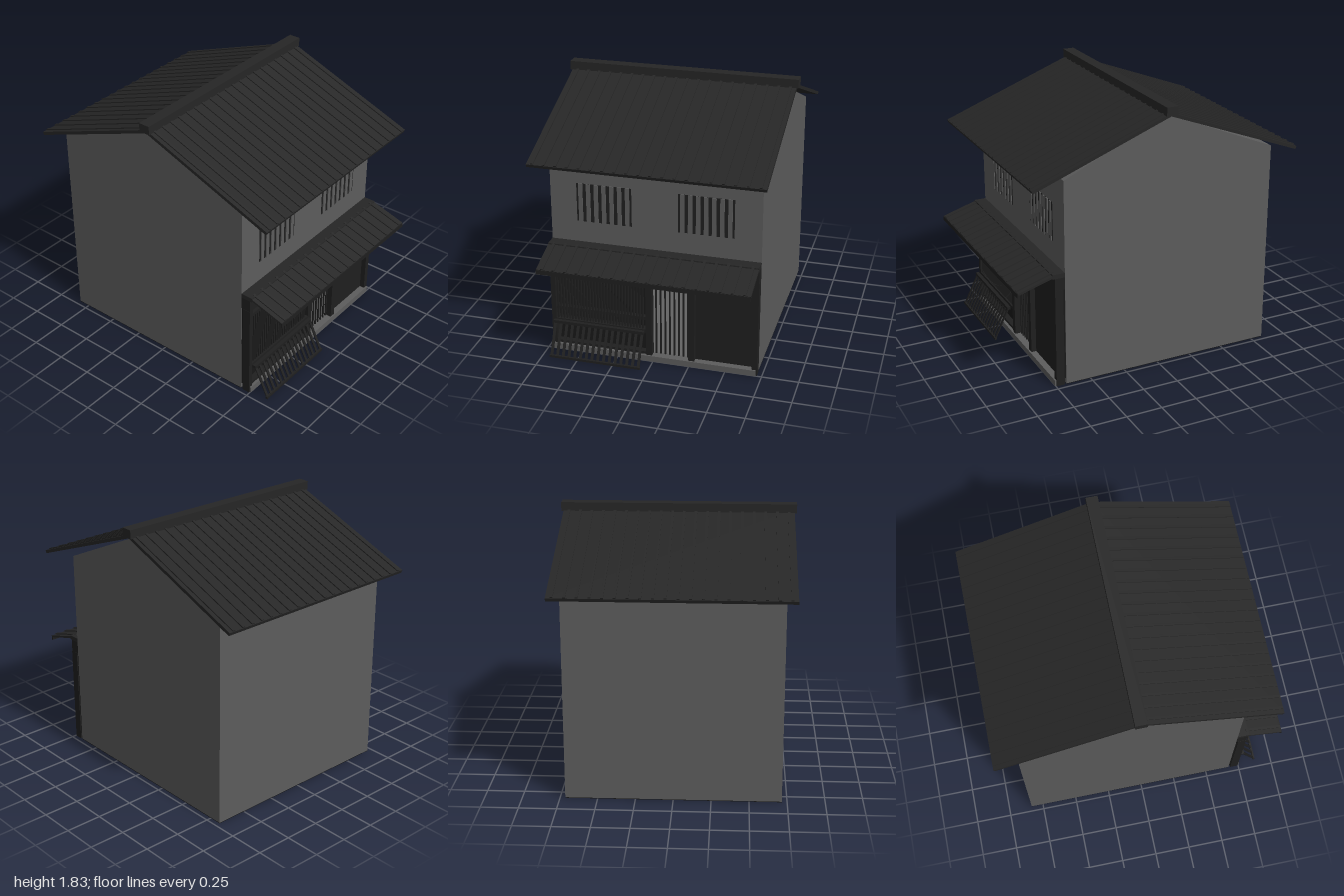
import * as THREE from 'three';

const mat = (name, color) => {
  const m = new THREE.MeshStandardMaterial({ color });
  m.name = name;
  return m;
};

export function createModel() {
  const plaster = mat('grey plaster', 0x5c5c5c);
  const tile = mat('dark roof tile', 0x262626);
  const wood = mat('dark timber', 0x1f1f1f);
  const shade = mat('shadowed timber', 0x181818);
  const paper = mat('paper screen', 0x828282);
  const house = new THREE.Group();
  house.name = 'townhouse';

  const group = (name) => {
    const g = new THREE.Group();
    g.name = name;
    house.add(g);
    return g;
  };
  // box given by its limits on each axis
  const box = (parent, name, m, [x0, x1], [y0, y1], [z0, z1]) => {
    const b = new THREE.Mesh(new THREE.BoxGeometry(x1 - x0, y1 - y0, z1 - z0), m);
    b.position.set((x0 + x1) / 2, (y0 + y1) / 2, (z0 + z1) / 2);
    b.name = name;
    parent.add(b);
    return b;
  };
  // box running in the zy plane from a to b, centred on that line
  const beam = (parent, name, m, x, width, thick, a, b) => {
    const dz = b[0] - a[0], dy = b[1] - a[1];
    const s = new THREE.Mesh(new THREE.BoxGeometry(width, thick, Math.hypot(dz, dy)), m);
    s.position.set(x, (a[1] + b[1]) / 2, (a[0] + b[0]) / 2);
    s.rotation.x = -Math.atan2(dy, dz);
    s.name = name;
    parent.add(s);
    return s;
  };
  // sloping slab with evenly spaced tile ribs on top
  const tiledSlope = (parent, half, thick, ribs, edge, a, b) => {
    beam(parent, 'roofSlab', tile, 0, half * 2, thick, a, b);
    const up = (p) => [p[0], p[1] + thick * 0.55];
    for (let i = 0; i < ribs; i++) {
      const x = -edge + (2 * edge * i) / (ribs - 1);
      beam(parent, 'tileRib', tile, x, 0.018, 0.014, up(a), up(b));
    }
  };

  // main body with gable ends
  const outline = new THREE.Shape();
  [[-0.675, 0.004], [0.835, 0.004], [0.835, 1.43], [0.04, 1.76], [-0.675, 1.43]]
    .forEach(([u, v], i) => (i ? outline.lineTo(u, v) : outline.moveTo(u, v)));
  const bodyGeo = new THREE.ExtrudeGeometry(outline, { depth: 1.43, bevelEnabled: false });
  bodyGeo.rotateY(Math.PI / 2).translate(-0.715, 0, 0);
  const body = new THREE.Mesh(bodyGeo, plaster);
  body.name = 'body';
  house.add(body);
  box(house, 'floorSlab', shade, [-0.715, 0.715], [0, 0.004], [-0.835, 0.675]);

  // main roof
  const roof = group('mainRoof');
  tiledSlope(roof, 0.78, 0.022, 20, 0.742, [0.91, 1.413], [-0.04, 1.775]);
  tiledSlope(roof, 0.78, 0.022, 20, 0.742, [-0.99, 1.413], [-0.04, 1.775]);
  box(roof, 'ridgeCap', tile, [-0.795, 0.795], [1.77, 1.83], [-0.08, 0]);

  // lower eave over the shop front
  const eave = group('lowerEave');
  tiledSlope(eave, 0.715, 0.014, 18, 0.675, [0.995, 0.718], [0.74, 0.796]);
  box(eave, 'eaveTop', tile, [-0.715, 0.715], [0.775, 0.806], [0.675, 0.76]);
  box(eave, 'fascia', wood, [-0.715, 0.715], [0.692, 0.722], [0.988, 1]);

  // slatted upper windows
  for (const cx of [-0.345, 0.345]) {
    const win = group('upperWindow');
    box(win, 'windowRecess', wood, [cx - 0.188, cx + 0.188], [0.955, 1.225], [0.674, 0.677]);
    for (let i = -3; i <= 3; i++) {
      const x = cx + i * 0.0533;
      box(win, 'windowBar', plaster, [x - 0.0145, x + 0.0145], [0.955, 1.225], [0.675, 0.682]);
    }
  }

  // shop front frame
  const front = group('shopFront');
  box(front, 'plinth', plaster, [-0.708, 0.708], [0, 0.042], [0.69, 0.755]);
  box(front, 'backPanel', shade, [-0.71, 0.71], [0.042, 0.77], [0.675, 0.692]);
  box(front, 'header', wood, [-0.715, 0.715], [0.69, 0.776], [0.675, 0.745]);
  for (const s of [-1, 1])
    box(front, 'cornerPost', wood, s < 0 ? [-0.717, -0.685] : [0.68, 0.717], [0, 0.69], [0.688, 0.745]);
  for (const [a, b] of [[-0.05, -0.008], [0.245, 0.287]])
    box(front, 'post', wood, [a, b], [0.042, 0.69], [0.685, 0.745]);

  // sliding door with paper behind thin bars
  const door = group('slidingDoor');
  box(door, 'paperPanel', paper, [-0.008, 0.245], [0.045, 0.588], [0.692, 0.7]);
  box(door, 'doorLintel', wood, [-0.008, 0.245], [0.588, 0.69], [0.692, 0.72]);
  for (let i = 0; i < 8; i++) {
    const x = 0.013 + i * 0.0315;
    box(door, 'doorBar', wood, [x - 0.005, x + 0.005], [0.045, 0.588], [0.7, 0.71]);
  }

  // plain panel on the right
  box(front, 'sidePanel', wood, [0.287, 0.68], [0.042, 0.608], [0.692, 0.71]);
  box(front, 'sideLintel', wood, [0.287, 0.68], [0.608, 0.69], [0.692, 0.725]);

  // lattice window
  const lattice = group('lattice');
  for (const [y0, y1, z] of [[0.636, 0.66, 0.745], [0.3, 0.322, 0.728], [0.215, 0.236, 0.745], [0.042, 0.06, 0.735]])
    box(lattice, 'latticeRail', wood, [-0.69, -0.05], [y0, y1], [0.692, z]);
  for (let i = 0; i < 30; i++) {
    const x = -0.675 + i * 0.0207;
    box(lattice, 'latticeSlat', wood, [x - 0.005, x + 0.005], [0.23, 0.64], [0.715, 0.735]);
  }

  // leaning fence at the foot of the lattice
  const fence = group('leaningFence');
  box(fence, 'topRail', wood, [-0.695, -0.055], [0.215, 0.235], [0.757, 0.782]);
  box(fence, 'footRail', wood, [-0.695, -0.055], [0.002, 0.018], [0.867, 0.883]);
  for (let i = 0; i < 16; i++)
    beam(fence, 'fenceSlat', wood, -0.682 + i * 0.041, 0.019, 0.007, [0.875, 0.01], [0.77, 0.225]);

  return house;
}
